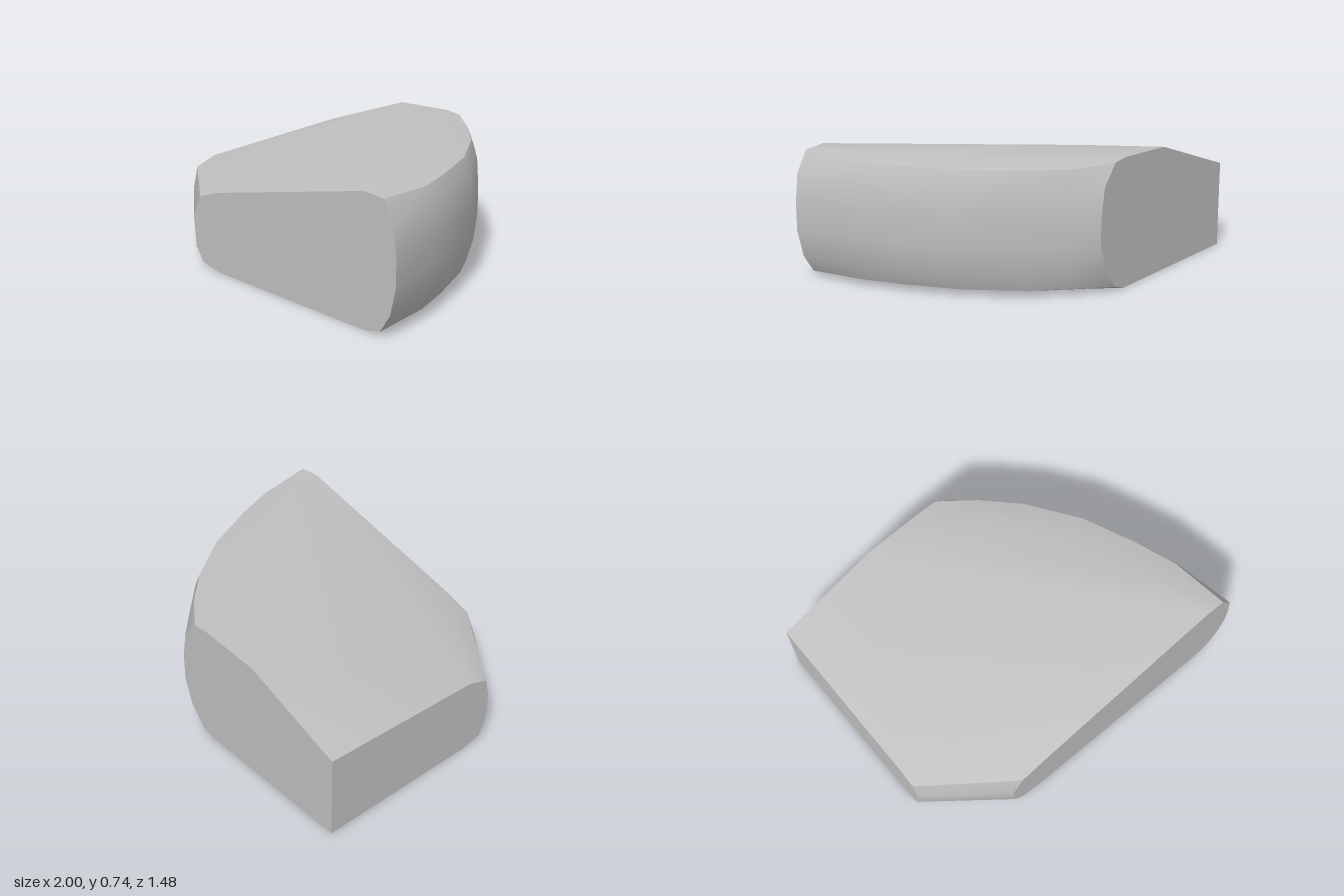
import * as THREE from 'three';
import { toCreasedNormals } from 'three/addons/utils/BufferGeometryUtils.js';

// Collects triangles from convex polygons given counter-clockwise
function facets(polygons) {
  const out = [];
  for (const p of polygons) {
    for (let i = 1; i < p.length - 1; i++) out.push(...p[0], ...p[i], ...p[i + 1]);
  }
  const g = new THREE.BufferGeometry();
  g.setAttribute('position', new THREE.Float32BufferAttribute(out, 3));
  return toCreasedNormals(g, 0.55);
}

export function createModel() {
  const group = new THREE.Group();
  const stone = new THREE.MeshStandardMaterial({ color: 0xc0c0c0 });
  stone.name = 'grey stone';
  const add = (name, polygons) => {
    const mesh = new THREE.Mesh(facets(polygons), stone);
    mesh.name = name;
    group.add(mesh);
  };

  const zBack = -0.74, zFront = 0.74;

  // Curved right wall: outline stations (x, z) and a rounded profile (inset, y)
  const outline = [[0.21, zBack], [0.34, -0.6], [0.52, -0.42], [0.715, -0.14], [0.85, 0.17], [0.93, 0.4], [1, zFront]];
  const profile = [[0.22, 0], [0.11, 0.025], [0.04, 0.13], [0, 0.29], [0, 0.45], [0.02, 0.61], [0.09, 0.727], [0.22, 0.738]];
  const right = outline.map(([x, z], i) => profile.map(([inset, y], j) => {
    const end = i === 0 || i === outline.length - 1;
    let k = i === 0 ? 1.35 : end ? 1 : 0.65;
    if (j === 0 || j === 7) k = 1;
    const dy = end ? 0 : j === 6 ? -0.02 : j === 1 ? 0.015 : 0;
    return [x - inset * k, y + dy, z];
  }));

  // Diagonal corner wall: matching profiles on the left face and the front face
  const cornerLeft = [[0.25, 0], [0.36, 0.025], [0.4, 0.11], [0.41, 0.29], [0.38, 0.41], [0.25, 0.455]]
    .map(([z, y]) => [-1, y, z]);
  const cornerFront = [[-0.36, 0], [-0.51, 0.025], [-0.57, 0.11], [-0.585, 0.29], [-0.52, 0.415], [-0.36, 0.47]]
    .map(([x, y]) => [x, y, zFront]);

  // Key corners of the sloping top and the base
  const backLow = [-1, 0, zBack];
  const backTop = [-1, 0.5, zBack];
  const ridge = [-0.38, 0.72, zBack];
  const topLeft = cornerLeft[5], topFront = cornerFront[5];
  const frontColumn = right[right.length - 1];
  const peak = frontColumn[7];

  // Weathered shell: walls, top and underside share smooth normals
  const shell = [];
  for (let i = 0; i < right.length - 1; i++) {
    for (let j = 0; j < profile.length - 1; j++) {
      shell.push([right[i + 1][j], right[i][j], right[i][j + 1], right[i + 1][j + 1]]);
    }
  }
  for (let j = 0; j < 5; j++) {
    shell.push([cornerLeft[j], cornerFront[j], cornerFront[j + 1], cornerLeft[j + 1]]);
  }
  shell.push([backTop, topLeft, ridge], [ridge, topLeft, peak], [topLeft, topFront, peak]);
  shell.push([ridge, ...right.map((c) => c[7]).reverse()]);
  shell.push([backLow, ...right.map((c) => c[0]), cornerFront[0], cornerLeft[0]]);
  add('roundedShell', shell);

  // Flat cut faces
  add('frontFace', [[cornerFront[0], ...frontColumn, ...cornerFront.slice(1).reverse()]]);
  add('backFace', [[backLow, backTop, ridge, ...right[0].slice().reverse()]]);
  add('leftFace', [[backTop, backLow, ...cornerLeft]]);
  return group;
}
